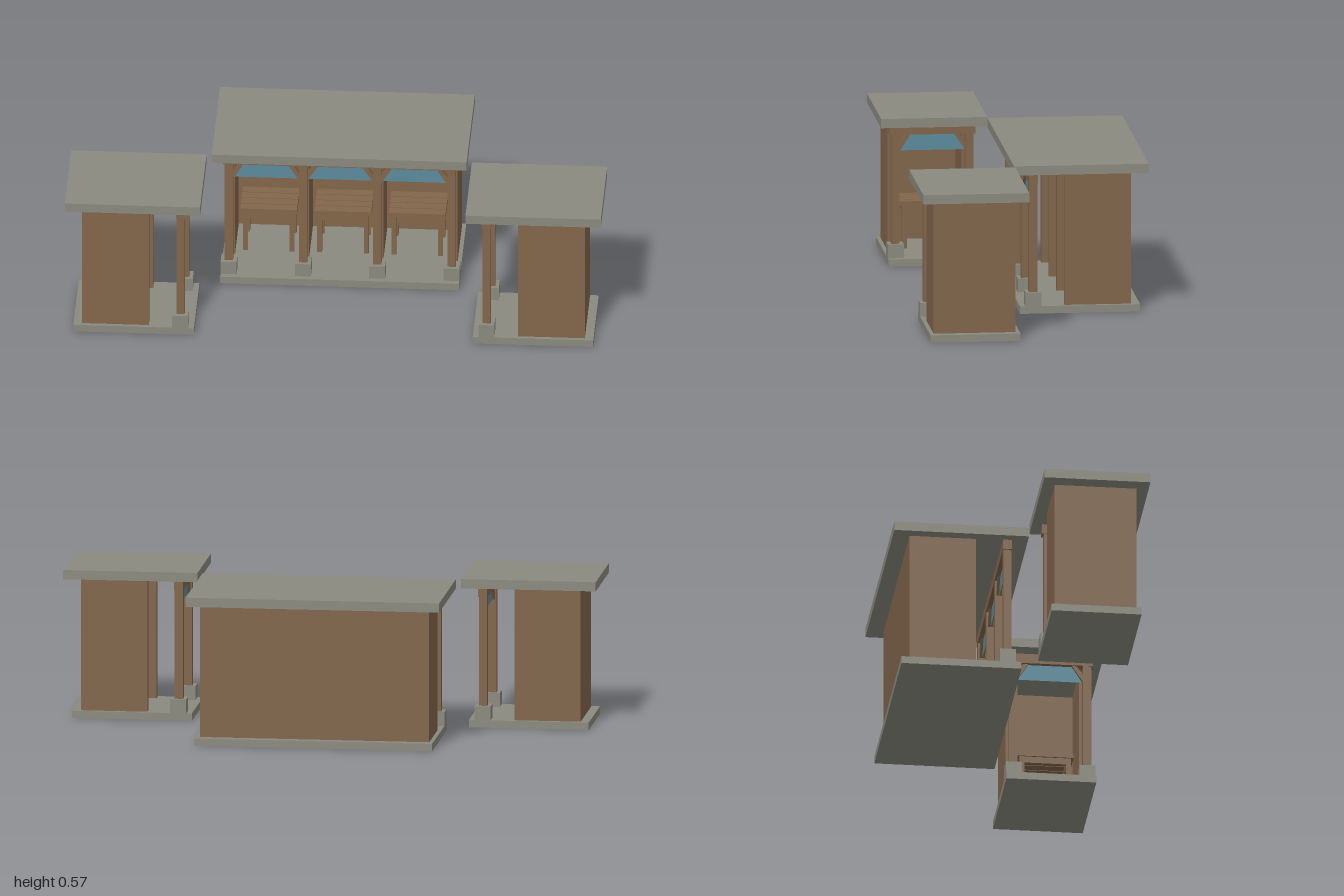
import * as THREE from 'three';

const stone = new THREE.MeshStandardMaterial({ color: 0x8a8a7f });
stone.name = 'stone';
const wood = new THREE.MeshStandardMaterial({ color: 0x82664b });
wood.name = 'wood';
const cloth = new THREE.MeshStandardMaterial({ color: 0x5b8b9d, side: THREE.DoubleSide });
cloth.name = 'blueCloth';

const BAY = 0.277;     // spacing between posts
const POST_Z = -0.021; // plane of the post row

// Box given by its minimum and maximum on each axis
function box(parent, name, material, [x0, x1], [y0, y1], [z0, z1]) {
  const mesh = new THREE.Mesh(new THREE.BoxGeometry(x1 - x0, y1 - y0, z1 - z0), material);
  mesh.position.set((x0 + x1) / 2, (y0 + y1) / 2, (z0 + z1) / 2);
  mesh.name = name;
  parent.add(mesh);
  return mesh;
}

// Slatted table standing inside one bay
function table(x) {
  const g = new THREE.Group();
  g.name = 'table';
  g.position.x = x;
  const front = -0.168, back = -0.336, slats = 4, pitch = (front - back) / slats;
  for (let i = 0; i < slats; i++) {
    const z = back + i * pitch;
    box(g, 'tableSlat', wood, [-0.106, 0.106], [0.19, 0.208], [z + 0.002, z + pitch - 0.002]);
  }
  for (const z of [front - 0.022, back + 0.008]) {
    box(g, 'tableApron', wood, [-0.096, 0.096], [0.165, 0.19], [z, z + 0.014]);
    for (const s of [-1, 1]) {
      const lx = s * 0.087;
      box(g, 'tableLeg', wood, [lx - 0.009, lx + 0.009], [0.028, 0.19], [z - 0.002, z + 0.016]);
    }
  }
  for (const s of [-1, 1]) {
    box(g, 'tableSideRail', wood, [s * 0.087 - 0.006, s * 0.087 + 0.006], [0.165, 0.19], [back + 0.02, front - 0.02]);
  }
  return g;
}

// Cloth valance with a knee brace at either end
function valance(x) {
  const g = new THREE.Group();
  g.name = 'valance';
  g.position.set(x, 0, POST_Z);
  const shape = new THREE.Shape();
  shape.moveTo(-0.122, 0.431);
  shape.lineTo(0.122, 0.431);
  shape.lineTo(0.08, 0.496);
  shape.lineTo(-0.08, 0.496);
  const sheet = new THREE.Mesh(new THREE.ShapeGeometry(shape), cloth);
  sheet.name = 'valanceCloth';
  g.add(sheet);
  for (const s of [-1, 1]) {
    const brace = new THREE.Mesh(new THREE.BoxGeometry(0.016, 0.074, 0.02), wood);
    brace.position.set(s * 0.108, 0.467, 0);
    brace.rotation.z = -s * -0.57;
    brace.name = 'kneeBrace';
    g.add(brace);
  }
  return g;
}

// Open-fronted stall facing +z with the given number of bays
function stall(name, bays) {
  const g = new THREE.Group();
  g.name = name;
  const half = bays * BAY / 2;
  const span = (extra) => [-half - extra, half + extra];

  box(g, 'base', stone, span(0.03), [0, 0.028], [-0.42, 0.03]);
  box(g, 'roof', stone, span(0.06), [0.531, 0.566], [-0.45, 0.055]);
  box(g, 'beam', wood, span(0.022), [0.493, 0.531], [-0.038, -0.004]);

  // Rear wall, end walls and dividers
  box(g, 'backWall', wood, span(0.015), [0.028, 0.531], [-0.388, -0.368]);
  for (let i = 0; i <= bays; i++) {
    const x = -half + i * BAY;
    box(g, i % bays ? 'divider' : 'sideWall', wood, [x - 0.015, x + 0.015], [0.028, 0.531], [-0.368, -0.139]);
    // Post on its stone footing
    box(g, 'post', wood, [x - 0.0155, x + 0.0155], [0.08, 0.495], [POST_Z - 0.0155, POST_Z + 0.0155]);
    box(g, 'footing', stone, [x - 0.03, x + 0.03], [0.028, 0.08], [POST_Z - 0.03, POST_Z + 0.03]);
  }
  for (let i = 0; i < bays; i++) {
    const x = -half + (i + 0.5) * BAY;
    g.add(table(x), valance(x));
  }
  return g;
}

export function createModel() {
  const model = new THREE.Group();
  model.name = 'marketStalls';
  model.add(stall('centreStall', 3));
  // Side stalls face each other across the middle
  for (const s of [-1, 1]) {
    const side = stall(s > 0 ? 'leftStall' : 'rightStall', 1);
    side.rotation.y = -s * Math.PI / 2;
    side.position.set(s * 0.55, 0, 0.252);
    model.add(side);
  }
  return model;
}
